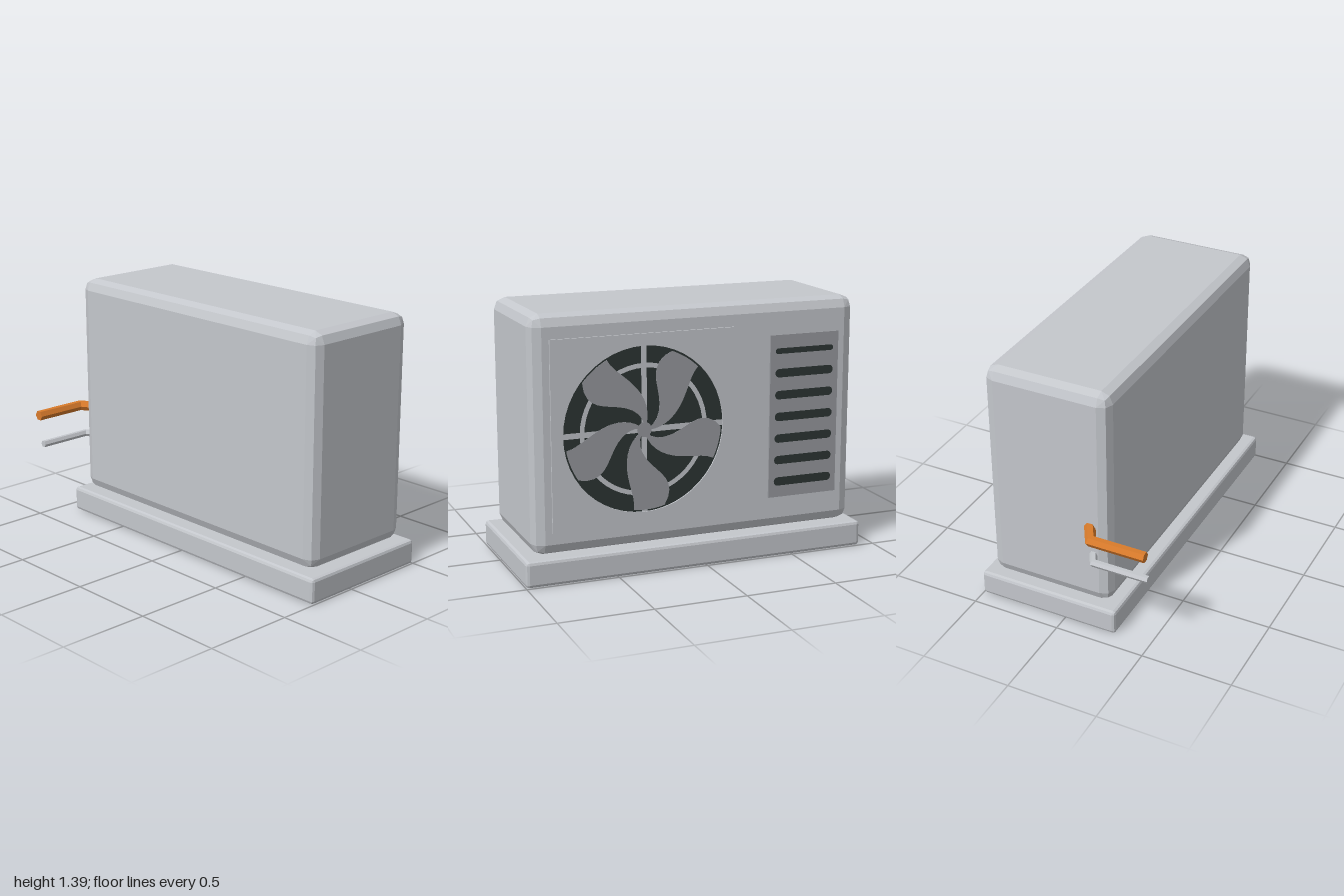
import * as THREE from 'three';
import { ConvexGeometry } from 'three/addons/geometries/ConvexGeometry.js';

const mat = (name, color) => {
  const m = new THREE.MeshStandardMaterial({ color });
  m.name = name;
  return m;
};

function add(parent, name, geometry, material, x = 0, y = 0, z = 0) {
  const mesh = new THREE.Mesh(geometry, material);
  mesh.name = name;
  mesh.position.set(x, y, z);
  parent.add(mesh);
  return mesh;
}

// Box with edges rounded in two flat facets
function facetedBox(w, h, d, r) {
  const dirs = [[1, 0, 0], [0, 1, 0], [0, 0, 1], [1, 1, 0], [1, 0, 1], [0, 1, 1], [1, 1, 1]];
  const points = [];
  for (const sx of [-1, 1]) for (const sy of [-1, 1]) for (const sz of [-1, 1]) {
    for (const dir of dirs) {
      const v = new THREE.Vector3(...dir).normalize().multiplyScalar(r);
      points.push(new THREE.Vector3(sx * (w / 2 - r + v.x), sy * (h / 2 - r + v.y), sz * (d / 2 - r + v.z)));
    }
  }
  return new ConvexGeometry(points);
}

// Six-sided pipe in a level plane, mitred at the bends and capped at both ends
function pipeGeometry(path, y, radius) {
  const sides = 6;
  const pts = path.map(([x, z]) => new THREE.Vector2(x, z));
  const rings = pts.map((p, i) => {
    const a = pts[Math.max(i - 1, 0)], b = pts[Math.min(i + 1, pts.length - 1)];
    const d0 = (i ? p.clone().sub(a) : b.clone().sub(p)).normalize();
    const d1 = (i < pts.length - 1 ? b.clone().sub(p) : d0.clone()).normalize();
    const t = d0.clone().add(d1).normalize();
    const stretch = 1 / t.dot(d0);
    return Array.from({ length: sides }, (_, k) => {
      const ang = (k / sides) * Math.PI * 2, s = Math.cos(ang) * radius * stretch;
      return [p.x + t.y * s, y + Math.sin(ang) * radius, p.y - t.x * s];
    });
  });
  const pos = [];
  const tri = (a, b, c) => pos.push(...a, ...b, ...c);
  for (let i = 0; i < rings.length - 1; i++) {
    for (let k = 0; k < sides; k++) {
      const n = (k + 1) % sides;
      const a = rings[i][k], b = rings[i][n], c = rings[i + 1][n], d = rings[i + 1][k];
      tri(a, b, c);
      tri(a, c, d);
    }
  }
  const first = rings[0], last = rings[rings.length - 1];
  for (let k = 1; k < sides - 1; k++) {
    tri(first[0], first[k + 1], first[k]);
    tri(last[0], last[k], last[k + 1]);
  }
  const g = new THREE.BufferGeometry();
  g.setAttribute('position', new THREE.Float32BufferAttribute(pos, 3));
  g.computeVertexNormals();
  return g;
}

// Curved fan blade that widens and sweeps round toward the rim
function bladeShape(tip) {
  const at = (r, a) => new THREE.Vector2(Math.cos(a) * r, Math.sin(a) * r);
  const lead = [], trail = [], rim = [];
  const n = 12;
  for (let i = 0; i <= n; i++) {
    const t = i / n, r = 0.02 + (tip - 0.02) * t;
    const mid = 0.95 * Math.sin(t * Math.PI * 0.6) - 0.5;
    const half = 0.2 + 0.17 * Math.sin(t * Math.PI);
    lead.push(at(r, mid + half));
    trail.push(at(r, mid - half));
    if (i === n) for (let k = 1; k < 8; k++) rim.push(at(r, mid - half + (2 * half * k) / 8));
  }
  return new THREE.Shape([...trail, ...rim, ...lead.reverse()]);
}

// Slot with round ends
function slotShape(w, h) {
  const r = h / 2, s = new THREE.Shape();
  s.absarc(w / 2 - r, 0, r, -Math.PI / 2, Math.PI / 2, false);
  s.absarc(-w / 2 + r, 0, r, Math.PI / 2, Math.PI * 1.5, false);
  s.closePath();
  return s;
}

const plate = (shape, depth) =>
  new THREE.ExtrudeGeometry(shape, { depth, bevelEnabled: false, curveSegments: 24 });

export function createModel() {
  const casing = mat('casing grey', 0xc4c7cc);
  const trim = mat('trim grey', 0x989a9f);
  const dark = mat('dark opening', 0x2c3534);
  const copper = mat('copper', 0xd97b2b);

  const model = new THREE.Group();
  model.name = 'outdoorUnit';

  // Plinth and casing
  add(model, 'basePlinth', facetedBox(1.915, 0.14, 0.8, 0.018), casing, 0.0425, 0.07, -0.1);
  add(model, 'casing', facetedBox(1.815, 1.252, 0.705, 0.062), casing, 0.0375, 0.769, -0.1025);

  // Pipes leaving the right side
  add(model, 'copperPipe', pipeGeometry([[-0.8, 0.1], [-0.97, 0.2], [-0.97, 0.505]], 0.61, 0.029), copper);
  add(model, 'greyPipe', pipeGeometry([[-0.8, 0.12], [-0.935, 0.195], [-0.935, 0.505]], 0.447, 0.02), casing);

  // Everything on the back is laid out facing +z, then turned round
  const back = new THREE.Group();
  back.name = 'backPanels';
  back.rotation.y = Math.PI;
  model.add(back);
  const surface = 0.455;

  // Fan panel with its round opening
  const fan = new THREE.Group();
  fan.name = 'fanAssembly';
  fan.position.set(-0.3425, 0.768, surface);
  back.add(fan);
  const R = 0.44, half = 0.5025;
  const panel = new THREE.Shape([[-half, -half], [half, -half], [half, half], [-half, half]]
    .map(([x, y]) => new THREE.Vector2(x, y)));
  panel.holes.push(new THREE.Path().absarc(0, 0, R, 0, Math.PI * 2, true));
  add(fan, 'fanPanel', plate(panel, 0.01), casing);
  add(fan, 'fanOpening', new THREE.CircleGeometry(R, 48), dark, 0, 0, 0.002);

  // Guard ring and cross spokes
  add(fan, 'guardRing', new THREE.RingGeometry(0.325, 0.35, 48), casing, 0, 0, 0.004);
  for (let i = 0; i < 2; i++) {
    const w = i ? 0.03 : 2 * R, h = i ? 2 * R : 0.03;
    add(fan, 'guardSpoke', new THREE.PlaneGeometry(w, h), casing, 0, 0, 0.004);
  }

  // Blades and hub
  const blade = plate(bladeShape(R - 0.01), 0.002);
  for (let i = 0; i < 5; i++) {
    add(fan, 'fanBlade', blade, trim, 0, 0, 0.005).rotation.z = (i / 5) * Math.PI * 2 + 0.6;
  }
  add(fan, 'fanHub', new THREE.CircleGeometry(0.04, 24), trim, 0, 0, 0.0075);

  // Vent panel with a column of slots
  const vent = new THREE.Group();
  vent.name = 'ventAssembly';
  vent.position.set(0.57, 0.767, surface);
  back.add(vent);
  add(vent, 'ventPanel', new THREE.BoxGeometry(0.4, 0.887, 0.01), trim, 0, 0, 0.005);
  for (let i = 0; i < 7; i++) {
    const h = i === 6 ? 0.03 : 0.046;
    add(vent, 'ventSlot', plate(slotShape(0.34, h), 0.001), dark, 0, (i - 3) * 0.119, 0.01);
  }
  return model;
}
